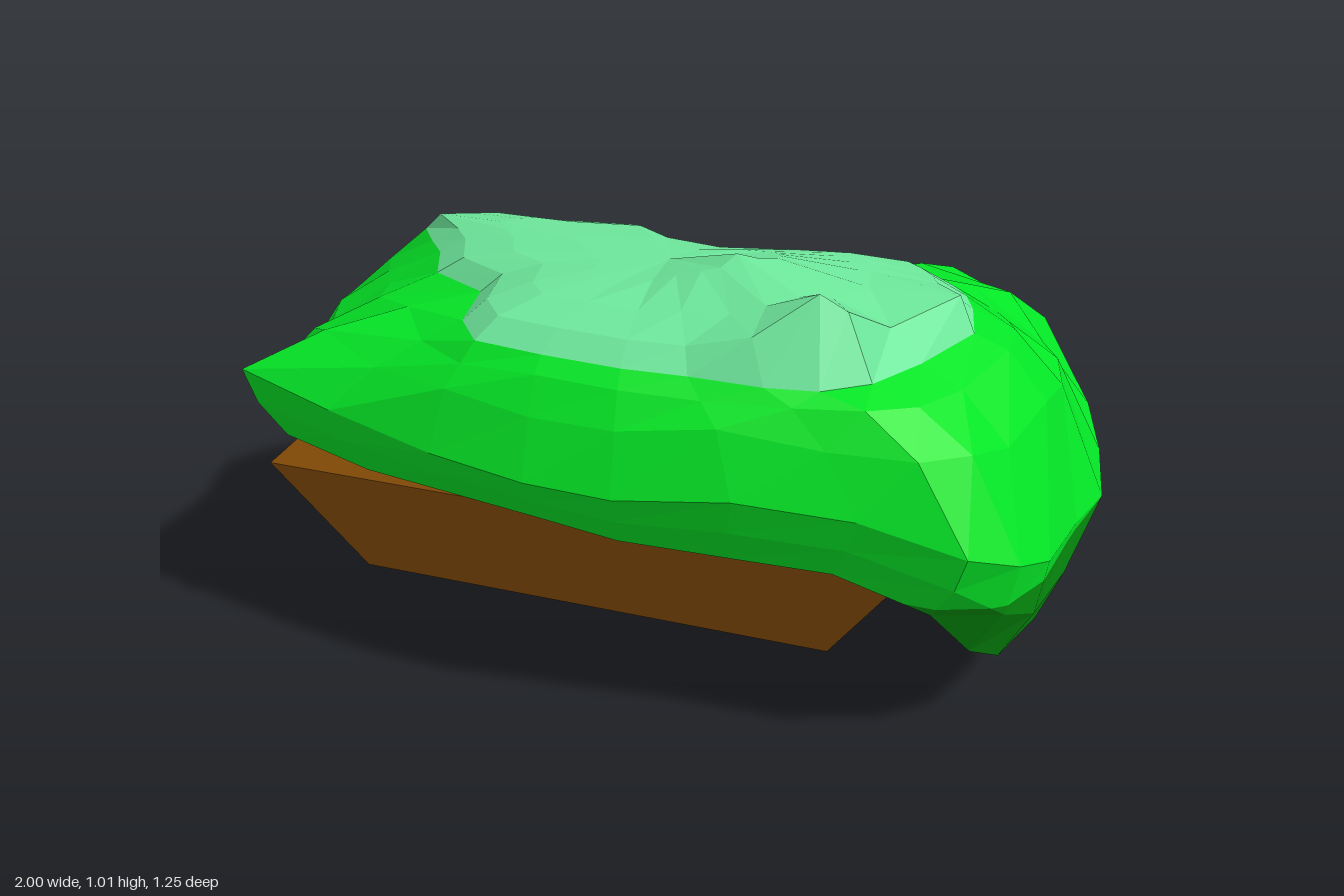
import * as THREE from 'three';

const material = (name, color, side = THREE.FrontSide) =>
  Object.assign(new THREE.MeshStandardMaterial({ color, flatShading: true, side }), { name });

// Widest outline of the foliage: x, z, height there, height of the hanging rim.
const OUTLINE = [
  [1, -0.12, 0.4, 0.31], [0.97, 0.06, 0.42, 0.16], [0.95, 0.3, 0.45, 0.18],
  [0.91, 0.43, 0.5, 0.25], [0.82, 0.53, 0.55, 0.38], [0.6, 0.56, 0.61, 0.45],
  [0.35, 0.6, 0.63, 0.46], [0.1, 0.62, 0.6, 0.47], [-0.1, 0.61, 0.6, 0.49],
  [-0.33, 0.57, 0.61, 0.49], [-0.6, 0.51, 0.64, 0.48], [-0.84, 0.46, 0.68, 0.51],
  [-0.93, 0.28, 0.53, 0.46], [-0.97, 0.1, 0.47, 0.4], [-0.99, -0.02, 0.45, 0.26],
  [-1, -0.13, 0.45, 0.25], [-0.95, -0.23, 0.48, 0.36], [-0.8, -0.31, 0.55, 0.44],
  [-0.6, -0.42, 0.57, 0.45], [-0.33, -0.45, 0.6, 0.45], [-0.02, -0.44, 0.6, 0.42],
  [0.25, -0.52, 0.66, 0.32], [0.53, -0.63, 0.7, 0.27], [0.78, -0.53, 0.64, 0.42],
  [0.92, -0.38, 0.5, 0.01], [0.97, -0.25, 0.45, 0],
];
// Edge of the pale crown (x, z), one point for each outline point.
const CROWN = [
  [0.69, -0.05], [0.72, 0.08], [0.65, 0.27], [0.58, 0.4], [0.49, 0.47], [0.38, 0.49],
  [0.22, 0.49], [0.08, 0.5], [-0.1, 0.49], [-0.26, 0.47], [-0.33, 0.38], [-0.36, 0.22],
  [-0.5, 0.15], [-0.55, 0.03], [-0.6, -0.03], [-0.65, -0.1], [-0.61, -0.15], [-0.55, -0.18],
  [-0.42, -0.18], [-0.18, -0.22], [-0.05, -0.14], [0.15, -0.11], [0.4, -0.17], [0.58, -0.2],
  [0.62, -0.17], [0.66, -0.12],
];
// Points of the crown that stand out: x, y, z
const PEAKS = [[0.46, 1.01, 0.38], [0.23, 1.0, 0.2], [0.68, 0.91, 0.05], [-0.6, 0.89, -0.08]];
const DARK_TOP = 0.4, CROWN_Y = 0.84;

// Foliage triangles, lofted through rings from the underside to the crown.
function foliageTriangles() {
  // place(x, z, top, rim, side) gives [scale, height]; side is 0 at the ends, 1 front and back
  const skirt = (place) => OUTLINE.map(([x, z, top, rim]) => {
    const [k, y] = place(top, rim, Math.abs(z) / Math.hypot(x, z));
    return [x * k, y, z * k];
  });
  const tuck = (top, rim, side) => 0.96 - (0.1 + 0.4 * side) * (top - rim);
  const shoulder = (t, rise) => OUTLINE.map(([x, z, top], i) => [
    x + (CROWN[i][0] - x) * t,
    top + (CROWN_Y - top) * (rise + 0.07 * x - 0.3 * Math.max(0, -z)),
    z + (CROWN[i][1] - z) * t]);
  const crown = (u, y) => CROWN.map(([x, z]) => {
    const px = 0.05 + (x - 0.05) * u;
    return [px, y + 0.02 * px * (1 - u), 0.12 + (z - 0.12) * u];
  });
  const rings = [
    skirt(() => [0.5, 0.5]),
    skirt((top, rim) => [0.74, Math.max(rim + 0.02, 0.46)]),
    skirt((top, rim, side) => [tuck(top, rim, side) - 0.04, rim + 0.12 * (top - rim)]),
    skirt((top, rim, side) => [tuck(top, rim, side), rim]),
    skirt((top, rim, side) => [0.985 - 0.03 * side, (rim + top) / 2]),
    skirt((top) => [1, top]),
    shoulder(0.35, 0.58), shoulder(0.7, 0.85),
    crown(1, CROWN_Y), crown(0.88, 0.885), crown(0.66, 0.915), crown(0.36, 0.93),
  ];
  const [low, high] = [rings[6], rings[7]];
  // Uneven lumps on the shoulders
  low.forEach((p, i) => { p[1] += 0.012 * Math.sin(i * 2.3); });
  high.forEach((p, i) => { p[1] += 0.008 * Math.sin(i * 1.7 + 1); });
  // Steep step above a ledge along the back
  for (let i = 18; i <= 20; i++) {
    low[i][1] -= 0.04;
    high[i][2] -= 0.05;
  }
  // Lift the crown around each peak and pull its nearest point to the tip
  const inner = rings.slice(9).flat();
  for (const peak of PEAKS) {
    const gap = (p) => Math.hypot(p[0] - peak[0], p[2] - peak[2]);
    const near = inner.reduce((a, b) => (gap(b) < gap(a) ? b : a));
    for (const p of inner) p[1] += Math.max(0, peak[1] - p[1]) * Math.max(0, 1 - gap(p) / 0.2);
    near.splice(0, 3, ...peak);
  }
  const tris = [], n = OUTLINE.length, last = rings.length - 1;
  const middle = [0.05, 0.935, 0.12], under = [0, 0.5, 0];
  for (let i = 0; i < n; i++) {
    const j = (i + 1) % n;
    for (let k = 0; k < last; k++) {
      const lo = rings[k], hi = rings[k + 1];
      tris.push([lo[i], hi[i], lo[j]], [lo[j], hi[i], hi[j]]);
    }
    tris.push([rings[last][i], middle, rings[last][j]], [rings[0][i], rings[0][j], under]);
  }
  return tris;
}

// Part of a polygon lying above (sign 1) or below (sign -1) a height.
function clip(poly, height, sign) {
  const out = [];
  poly.forEach((a, i) => {
    const b = poly[(i + 1) % poly.length];
    const da = (a[1] - height) * sign, db = (b[1] - height) * sign;
    if (da >= 0) out.push(a);
    if (da * db < 0) out.push(a.map((v, k) => v + (b[k] - v) * (da / (da - db))));
  });
  return out;
}

// The slice of the foliage between two heights.
function bandGeometry(tris, low, high) {
  const pos = [];
  for (const tri of tris) {
    const poly = clip(clip(tri, low, 1), high, -1);
    for (let i = 1; i < poly.length - 1; i++) pos.push(...poly[0], ...poly[i], ...poly[i + 1]);
  }
  const geo = new THREE.BufferGeometry();
  geo.setAttribute('position', new THREE.Float32BufferAttribute(pos, 3));
  geo.computeVertexNormals();
  return geo;
}

export function createModel() {
  const model = new THREE.Group();
  model.name = 'plantedBox';
  const wood = material('wood', 0x7e4806);
  const shade = material('darkLeaves', 0x06920e, THREE.DoubleSide);
  const leaf = material('leaves', 0x04e626, THREE.DoubleSide);
  const pale = material('paleLeaves', 0x70ec9f, THREE.DoubleSide);

  // Planter: a box flared toward the top, its front almost upright
  const box = new THREE.BoxGeometry(2, 2, 2);
  const p = box.attributes.position;
  for (let i = 0; i < p.count; i++) {
    const up = p.getY(i) > 0, right = p.getX(i) > 0, front = p.getZ(i) > 0;
    const x = up ? (right ? 0.71 : -0.8) : (right ? 0.53 : -0.58);
    const z = up ? (front ? 0.47 : -0.25) : (front ? 0.44 : -0.11);
    p.setXYZ(i, front ? x * 0.98 : x, up ? 0.46 : 0.22, z);
  }
  box.computeVertexNormals();
  const planter = new THREE.Mesh(box, wood);
  planter.name = 'planter';
  model.add(planter);

  // Foliage in three height bands
  const tris = foliageTriangles();
  [['lowerFoliage', -1, DARK_TOP, shade], ['foliage', DARK_TOP, CROWN_Y, leaf],
    ['crown', CROWN_Y, 2, pale]].forEach(([name, low, high, mat]) => {
    const mesh = new THREE.Mesh(bandGeometry(tris, low, high), mat);
    mesh.name = name;
    model.add(mesh);
  });
  return model;
}
